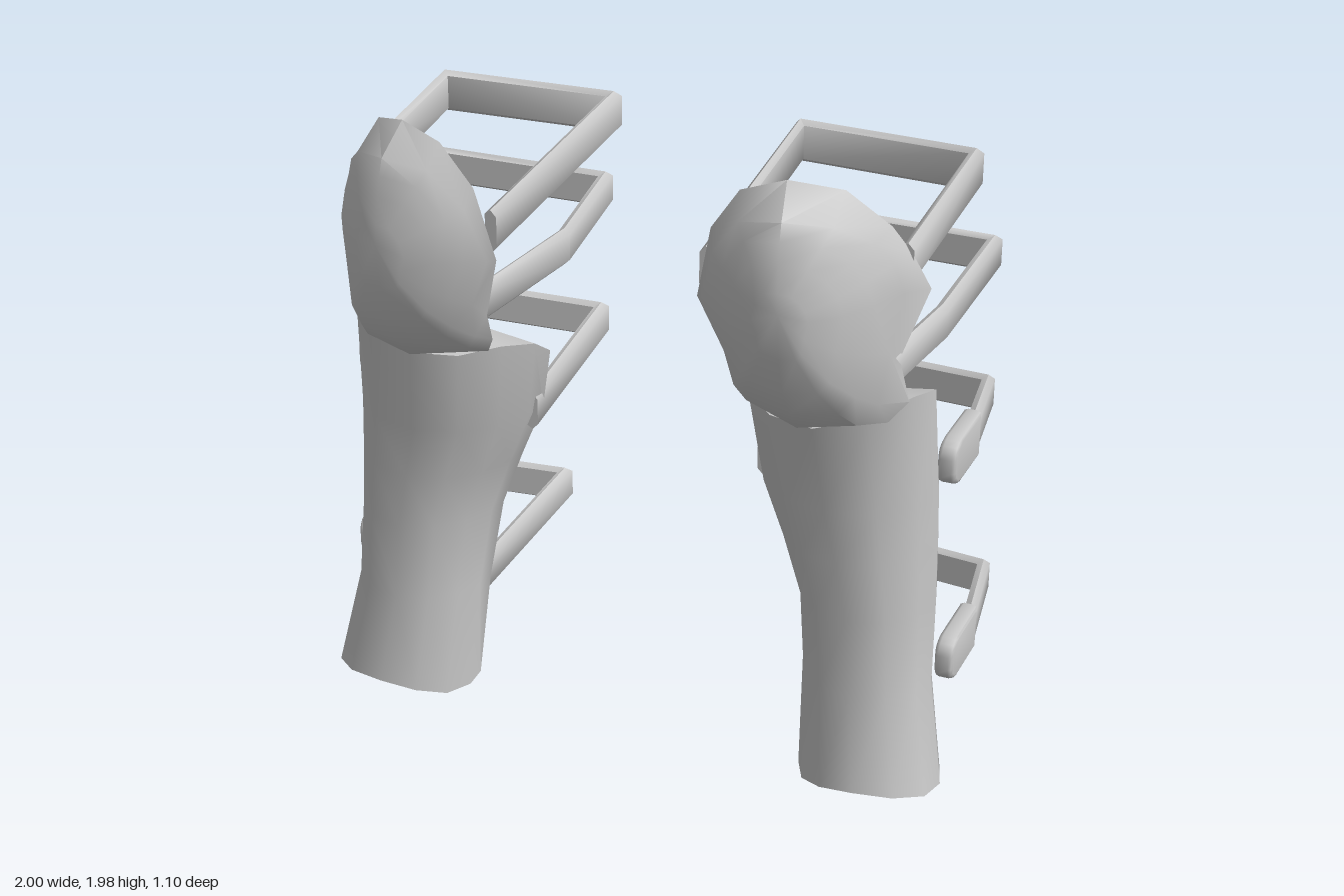
import * as THREE from 'three';
import { toCreasedNormals } from 'three/addons/utils/BufferGeometryUtils.js';

const grey = new THREE.MeshStandardMaterial({ color: 0xc6c6c6 });
grey.name = 'plain grey';

// Skin a list of equal-length loops, closing both ends on a centre point.
// Faces are turned outward by checking the enclosed volume.
function loft(rings, startPoint, endPoint, side, crease) {
  const n = rings[0].length;
  const pts = [...rings.flat(), startPoint, endPoint].map(([x, y, z]) => [x * side, y, z]);
  const a = n * rings.length, b = a + 1, last = a - n;
  const faces = [];
  for (let i = 0; i < n; i++) {
    const j = (i + 1) % n;
    faces.push([a, j, i], [b, last + i, last + j]);
    for (let r = 0; r < rings.length - 1; r++) {
      const p = r * n, q = p + n;
      faces.push([p + i, p + j, q + j], [p + i, q + j, q + i]);
    }
  }
  const v = pts.map(p => new THREE.Vector3(...p));
  let volume = 0;
  for (const [i, j, k] of faces) volume += v[i].dot(v[j].clone().cross(v[k]));
  if (volume < 0) faces.forEach(f => f.reverse());
  const g = new THREE.BufferGeometry();
  g.setAttribute('position', new THREE.Float32BufferAttribute(pts.flat(), 3));
  g.setIndex(faces.flat());
  return toCreasedNormals(g, crease);
}

function part(name, geometry) {
  const m = new THREE.Mesh(geometry, grey);
  m.name = name;
  return m;
}

// Shin section: u runs inner to outer, v runs back to front
const SECTION = [[0, 0.1], [0.02, 0.32], [0.11, 0.65], [0.28, 0.9], [0.52, 1], [0.78, 0.9],
  [0.95, 0.62], [1, 0.32], [0.95, 0.07], [0.75, 0], [0.42, 0], [0.12, 0]];

function shinGuard(side) {
  // y, inner x, outer x, back z, front z
  const levels = [
    [0.03, 0.545, 1.0, 0.08, 0.33], [0.35, 0.53, 0.94, 0.02, 0.275],
    [0.6, 0.5, 0.93, -0.03, 0.27], [0.78, 0.435, 0.925, -0.045, 0.275],
    [0.95, 0.365, 0.92, -0.05, 0.285], [1.2, 0.325, 0.905, -0.025, 0.33]];
  const rings = levels.map(([y, xi, xo, zb, zf], k) => SECTION.map(([u, v]) => {
    let h = y;
    if (k === 0) h = 0.005 + 0.04 * u + 0.15 * (v - 0.5) ** 2;
    if (k === levels.length - 1) h = 1.23 + 0.09 * u - 0.3 * (v - 0.6) ** 2;
    return [xi + (xo - xi) * u, h, zb + (zf - zb) * v];
  }));
  return part('shinGuard', loft(rings, [0.77, 0.015, 0.2], [0.63, 1.28, 0.14], side, 1.35));
}

function kneePad(side) {
  // back edge of the pad, then the outline where the dome begins
  const rim = [[0.57, 1.99, 0.42], [0.445, 1.95, 0.44], [0.355, 1.82, 0.42], [0.305, 1.6, 0.39],
    [0.375, 1.39, 0.32], [0.385, 1.29, 0.27], [0.41, 1.24, 0.25], [0.61, 1.21, 0.25],
    [0.82, 1.25, 0.25], [0.87, 1.31, 0.22], [0.84, 1.44, 0.23], [0.905, 1.64, 0.18],
    [0.85, 1.74, 0.19], [0.8, 1.82, 0.22], [0.7, 1.945, 0.32]];
  const dome = [[0.59, 1.905, 0.51], [0.46, 1.88, 0.49], [0.37, 1.76, 0.45], [0.325, 1.6, 0.41],
    [0.385, 1.45, 0.39], [0.4, 1.33, 0.35], [0.43, 1.28, 0.33], [0.6, 1.25, 0.38],
    [0.76, 1.27, 0.34], [0.81, 1.33, 0.31], [0.83, 1.48, 0.29], [0.855, 1.65, 0.26],
    [0.83, 1.74, 0.28], [0.79, 1.81, 0.33], [0.71, 1.88, 0.43]];
  const shrink = (s, f) => dome.map(([x, y, z]) =>
    [0.6 + (x - 0.6) * s, 1.64 + (y - 1.64) * s, z + (0.55 - z) * f]);
  const rings = [rim, dome, shrink(0.82, 0.38), shrink(0.6, 0.7), shrink(0.3, 0.92)];
  return part('kneePad', loft(rings, [0.6, 1.6, 0.29], [0.6, 1.66, 0.552], side, 0.8));
}

// Upright band with bevelled edges swept along a path of [x, y, z] centres, mitred at corners
const BAND = [[1, 0.7], [0, 1], [-1, 0.8], [-1, -0.8], [0, -1], [1, -0.7]];

function strap(name, path, height, side, thick = 0.036) {
  const dir = (p, q) => new THREE.Vector2(q[0] - p[0], q[2] - p[2]).normalize();
  const rings = path.map((p, i) => {
    const d0 = dir(path[Math.max(i - 1, 0)], path[Math.max(i, 1)]);
    const e = Math.min(i, path.length - 2);
    const d1 = dir(path[e], path[e + 1]);
    const m = d0.clone().add(d1).normalize();
    const w = thick / 2 / Math.max(m.dot(d0), 0.4);
    const ox = -m.y * w, oz = m.x * w, h = height / 2;
    return BAND.map(([s, t]) => [p[0] + s * ox, p[1] + t * h, p[2] + s * oz]);
  });
  return part(name, loft(rings, path[0], path[path.length - 1], side, 0.95));
}

// Clasp plate with a rounded front end
function buckle(name, x, y, z, side) {
  const s = new THREE.Shape();
  s.moveTo(0.11, -0.06);
  s.lineTo(0.11, 0.06);
  s.lineTo(-0.06, 0.06);
  s.quadraticCurveTo(-0.11, 0.055, -0.11, 0.02);
  s.lineTo(-0.11, -0.02);
  s.quadraticCurveTo(-0.11, -0.055, -0.06, -0.06);
  const g = new THREE.ExtrudeGeometry(s, { depth: 0.03, curveSegments: 4,
    bevelSize: 0.012, bevelThickness: 0.013, bevelSegments: 2 });
  g.translate(0, 0, -0.015);
  g.rotateY(Math.PI / 2);
  g.translate(x * side, y, z);
  return part(name, toCreasedNormals(g, 0.9));
}

function legGuard(name, side) {
  const g = new THREE.Group();
  g.name = name;
  g.add(
    shinGuard(side),
    kneePad(side),
    strap('upperKneeStrap', [[0.84, 1.705, 0.2], [0.85, 1.78, -0.37], [0.3, 1.775, -0.41],
      [0.325, 1.68, 0.38]], 0.13, side),
    strap('lowerKneeStrap', [[0.82, 1.41, 0.25], [0.885, 1.46, 0], [0.905, 1.51, -0.42],
      [0.35, 1.5, -0.455], [0.315, 1.46, -0.08], [0.42, 1.4, 0.28]], 0.115, side),
    strap('upperShinStrap', [[0.94, 1.04, -0.05], [0.94, 1.04, -0.18], [0.9, 1.04, -0.46],
      [0.4, 1.02, -0.525], [0.375, 0.955, 0.04]], 0.12, side),
    strap('lowerShinStrap', [[0.965, 0.4, -0.05], [0.965, 0.4, -0.18], [0.915, 0.4, -0.48],
      [0.54, 0.395, -0.53], [0.555, 0.35, 0.08]], 0.12, side),
    buckle('upperBuckle', 0.935, 1.04, -0.07, side),
    buckle('lowerBuckle', 0.96, 0.4, -0.06, side));
  return g;
}

export function createModel() {
  const model = new THREE.Group();
  model.name = 'legGuards';
  model.add(legGuard('leftGuard', 1), legGuard('rightGuard', -1));
  return model;
}
